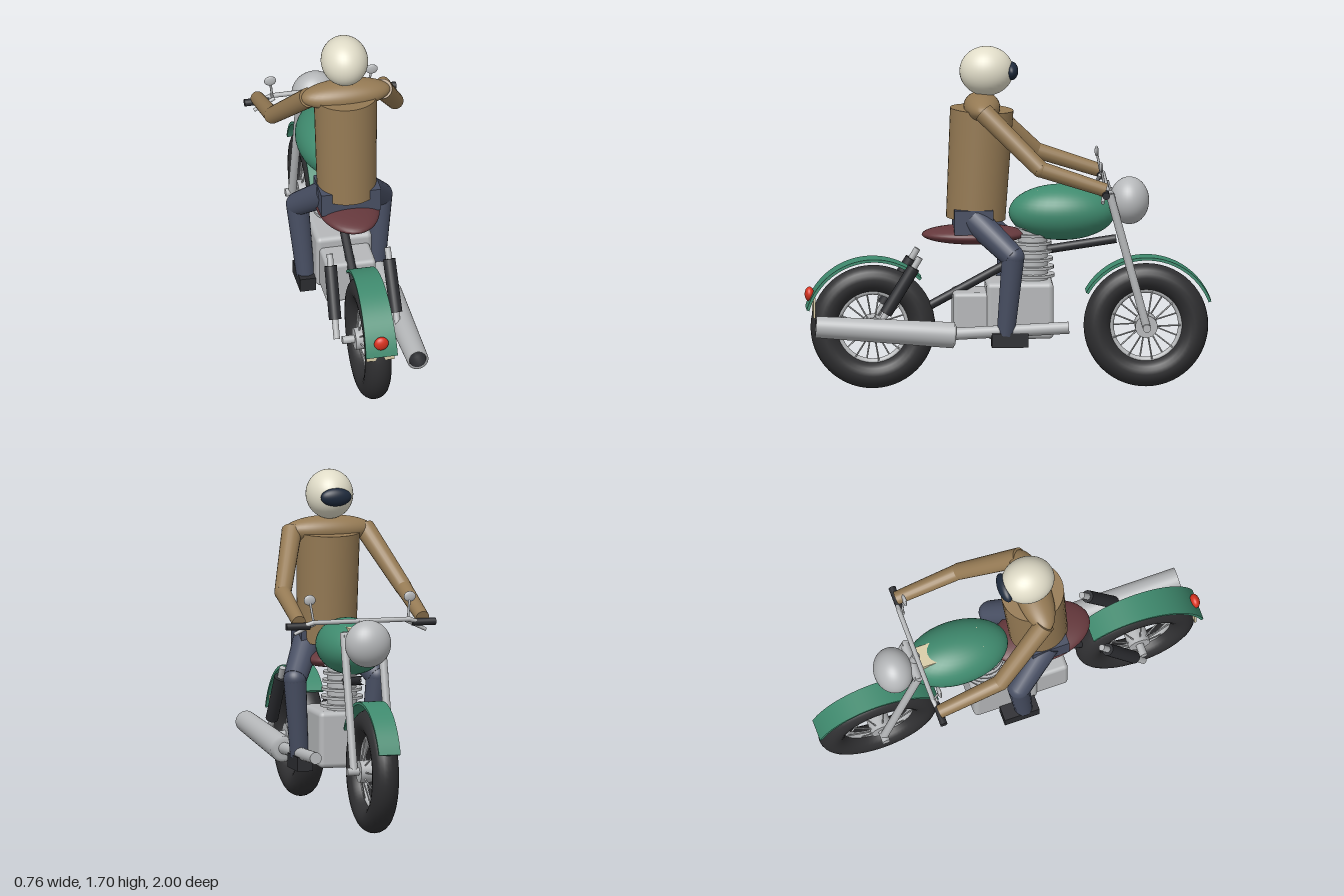
import * as THREE from 'three';
import { RoundedBoxGeometry } from 'three/addons/geometries/RoundedBoxGeometry.js';

const paint = (color) => new THREE.MeshStandardMaterial({ color });
const green = paint(0x3f8a6e), rubber = paint(0x2f2f31), silver = paint(0xb6b8ba), dark = paint(0x2b2c30);
const maroon = paint(0x65383c), jacket = paint(0x957a54), navy = paint(0x484f63), ivory = paint(0xe0dcc8);
const beige = paint(0xd9cda8), red = paint(0xd8321f), glass = paint(0x1e2a3c);
const V = (x, y, z) => new THREE.Vector3(x, y, z);
const UP = V(0, 1, 0);

export function createModel() {
  const model = new THREE.Group();
  model.name = 'motorcycleWithRider';

  const add = (name, geometry, material, position = [0, 0, 0], parent = model) => {
    const mesh = new THREE.Mesh(geometry, material);
    mesh.name = name;
    mesh.position.set(...position);
    parent.add(mesh);
    return mesh;
  };
  // Straight round bar between two points, optionally tapered
  const rod = (name, a, b, ra, rb, material, parent = model, sides = 20) => {
    const p = V(...a), q = V(...b), d = q.clone().sub(p);
    const mesh = add(name, new THREE.CylinderGeometry(rb, ra, d.length(), sides), material,
      p.clone().add(q).multiplyScalar(0.5).toArray(), parent);
    mesh.quaternion.setFromUnitVectors(UP, d.normalize());
    return mesh;
  };
  const ball = (name, position, radii, material, parent = model) => {
    const mesh = add(name, new THREE.SphereGeometry(1, 36, 24), material, position, parent);
    mesh.scale.set(...radii);
    return mesh;
  };
  const box = (name, position, size, material, parent = model) =>
    add(name, new THREE.BoxGeometry(...size), material, position, parent);

  // Wheels
  const wheel = (name, z) => {
    const group = new THREE.Group();
    group.name = name;
    group.position.set(0, 0.306, z);
    model.add(group);
    const ring = (part, radius, tube, material) => {
      add(part, new THREE.TorusGeometry(radius, tube, 20, 56), material, [0, 0, 0], group).rotation.y = Math.PI / 2;
    };
    ring('tyre', 0.24, 0.066, rubber);
    ring('rim', 0.174, 0.016, silver);
    rod('hub', [-0.07, 0, 0], [0.07, 0, 0], 0.055, 0.055, silver, group, 28);
    rod('axle', [-0.13, 0, 0], [0.13, 0, 0], 0.02, 0.02, silver, group);
    for (let i = 0; i < 18; i++) {
      const a = (i / 18) * Math.PI * 2, c = Math.cos(a), s = Math.sin(a);
      const side = i % 2 ? 0.05 : -0.05;
      rod('spoke', [side, s * 0.045, c * 0.045], [side * 0.3, s * 0.17, c * 0.17], 0.004, 0.004, silver, group, 6);
    }
  };
  wheel('rearWheel', 0.665);
  wheel('frontWheel', -0.676);

  // Fenders: a flat strip bent round the wheel
  const fender = (name, z, fromDeg, toDeg, widthFrom, widthTo) => {
    const geometry = new THREE.BoxGeometry(1, 0.014, 1, 4, 1, 32);
    const p = geometry.attributes.position;
    for (let i = 0; i < p.count; i++) {
      const t = p.getZ(i) + 0.5;
      const a = THREE.MathUtils.degToRad(THREE.MathUtils.lerp(fromDeg, toDeg, t));
      const r = 0.335 + p.getY(i);
      p.setXYZ(i, p.getX(i) * THREE.MathUtils.lerp(widthFrom, widthTo, t),
        0.306 + r * Math.sin(a), z + r * Math.cos(a));
    }
    geometry.computeVertexNormals();
    add(name, geometry, green);
  };
  fender('rearFender', 0.665, 134, 16, 0.12, 0.16);
  fender('frontFender', -0.676, 159, 30, 0.11, 0.13);
  ball('tailLight', [0, 0.47, 0.977], [0.036, 0.036, 0.023], red);
  box('numberPlate', [0, 0.41, 0.955], [0.14, 0.1, 0.01], beige);

  // Engine, gearbox and finned cylinder
  add('engineBlock', new RoundedBoxGeometry(0.28, 0.28, 0.33, 3, 0.025), silver, [0, 0.398, -0.053]);
  add('gearbox', new RoundedBoxGeometry(0.25, 0.22, 0.22, 3, 0.02), silver, [0, 0.377, 0.165]);
  rod('engineCylinder', [0, 0.5, -0.12], [0, 0.86, -0.12], 0.075, 0.07, silver, model, 32);
  for (let i = 0; i < 7; i++) {
    const r = 0.108 - i * 0.004, y = 0.56 + i * 0.04;
    rod('coolingFin', [0, y - 0.007, -0.12], [0, y + 0.007, -0.12], r, r, silver, model, 32);
  }

  // Frame backbone
  const spine = new THREE.CurvePath();
  const joints = [V(0, 0.39, 0.42), V(0, 0.635, -0.03), V(0, 0.675, -0.13), V(0, 0.735, -0.53)];
  for (let i = 0; i < 3; i++) spine.add(new THREE.LineCurve3(joints[i], joints[i + 1]));
  add('frame', new THREE.TubeGeometry(spine, 40, 0.022, 12), dark);

  // Seat and tank
  ball('seat', [0, 0.763, 0.17], [0.155, 0.047, 0.255], maroon);
  ball('fuelTank', [0, 0.87, -0.265], [0.16, 0.138, 0.263], green);
  box('tankStripe', [0, 0.965, -0.305], [0.11, 0.036, 0.33], beige);

  // Exhaust with an open muffler
  rod('exhaustPipe', [0.18, 0.322, -0.29], [0.185, 0.295, 0.29], 0.03, 0.03, silver);
  const profile = [[0, -0.345], [0.045, -0.345], [0.064, -0.335], [0.053, 0.345], [0.042, 0.345], [0.042, 0.25]];
  const muffler = new THREE.Group();
  muffler.name = 'muffler';
  muffler.position.set(0.188, 0.312, 0.61);
  muffler.quaternion.setFromUnitVectors(UP, V(0, 0.046, 0.685).normalize());
  model.add(muffler);
  const shell = profile.slice(0, 5).map(([r, y]) => new THREE.Vector2(r, y));
  add('mufflerShell', new THREE.LatheGeometry(shell, 36), silver, [0, 0, 0], muffler);
  const bore = [[0.042, 0.345], [0.042, 0.25], [0, 0.25]].map(([r, y]) => new THREE.Vector2(r, y));
  add('mufflerBore', new THREE.LatheGeometry(bore, 36), dark, [0, 0, 0], muffler);

  // Headlight and handlebar
  ball('headlight', [0, 0.925, -0.595], [0.115, 0.117, 0.097], silver);
  rod('steeringClamp', [-0.1, 0.955, -0.5], [0.1, 0.955, -0.5], 0.022, 0.022, silver);
  rod('handlebarStem', [0, 0.93, -0.5], [0, 1.02, -0.475], 0.02, 0.02, silver);
  rod('handlebar', [-0.25, 1.022, -0.475], [0.25, 1.022, -0.475], 0.012, 0.012, silver);

  // Rider: trunk and head
  box('pelvis', [0, 0.84, 0.175], [0.3, 0.12, 0.19], navy);
  rod('torso', [0, 0.843, 0.16], [0, 1.385, 0.13], 0.146, 0.156, jacket, model, 40);
  ball('shoulders', [0, 1.395, 0.13], [0.225, 0.07, 0.09], jacket);
  ball('helmet', [0, 1.573, 0.107], [0.116, 0.122, 0.133], ivory);
  ball('visor', [0, 1.572, -0.015], [0.078, 0.045, 0.034], glass);

  // Parts on both sides
  for (const s of [-1, 1]) {
    const side = s > 0 ? 'left' : 'right';
    // Fork and rear shock
    rod(side + 'Fork', [s * 0.095, 0.97, -0.495], [s * 0.095, 0.306, -0.676], 0.02, 0.02, silver);
    rod(side + 'ShockRod', [s * 0.155, 0.31, 0.655], [s * 0.145, 0.67, 0.44], 0.016, 0.016, silver);
    rod(side + 'Shock', [s * 0.153, 0.395, 0.608], [s * 0.147, 0.62, 0.47], 0.031, 0.031, dark);

    // Grip, lever and mirror
    rod(side + 'BarEnd', [s * 0.245, 1.022, -0.475], [s * 0.29, 1.005, -0.468], 0.012, 0.012, silver);
    rod(side + 'Grip', [s * 0.26, 1.005, -0.465], [s * 0.38, 1.005, -0.465], 0.018, 0.018, dark);
    rod(side + 'Lever', [s * 0.23, 1.015, -0.46], [s * 0.335, 0.965, -0.45], 0.009, 0.009, silver);
    rod(side + 'MirrorStem', [s * 0.24, 1.02, -0.465], [s * 0.255, 1.13, -0.445], 0.006, 0.006, silver, model, 8);
    ball(side + 'Mirror', [s * 0.255, 1.13, -0.445], [0.03, 0.026, 0.01], silver);

    // Arm
    const shoulder = [s * 0.185, 1.395, 0.13], elbow = [s * 0.308, 1.13, -0.145], wrist = [s * 0.315, 1.025, -0.465];
    rod(side + 'UpperArm', shoulder, elbow, 0.05, 0.042, jacket);
    ball(side + 'Elbow', elbow, [0.041, 0.041, 0.041], jacket);
    rod(side + 'Forearm', elbow, wrist, 0.04, 0.034, jacket);

    // Leg
    const hip = [s * 0.095, 0.85, 0.17], knee = [s * 0.21, 0.68, -0.015], ankle = [s * 0.178, 0.29, 0.02];
    rod(side + 'Thigh', hip, knee, 0.07, 0.058, navy);
    ball(side + 'Knee', knee, [0.056, 0.056, 0.056], navy);
    rod(side + 'Shin', knee, ankle, 0.056, 0.045, navy);
    box(side + 'Boot', [s * 0.178, 0.265, 0], [0.08, 0.07, 0.18], dark);
  }
  return model;
}
